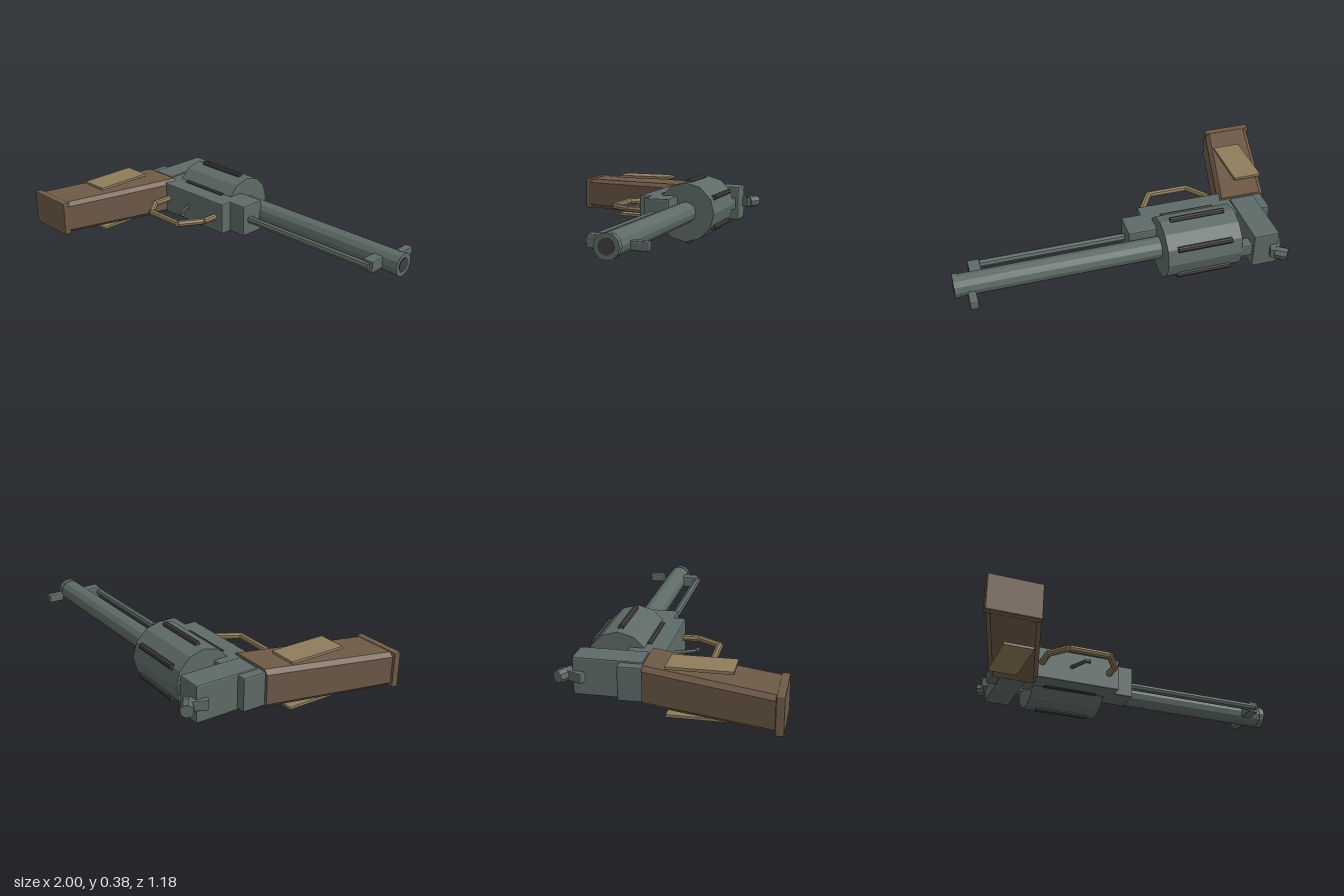
import * as THREE from 'three';
import { RoundedBoxGeometry } from 'three/addons/geometries/RoundedBoxGeometry.js';

const MID = 0.193;    // height of the symmetry plane
const AXIS = -0.314;  // z of the bore line

export function createModel() {
  const model = new THREE.Group();
  model.name = 'revolver';

  const paint = (name, color) => new THREE.MeshStandardMaterial({ name, color, flatShading: true });
  const steel = paint('steel', 0x5e6b67);
  const dark = paint('darkSteel', 0x403e3e);
  const wood = paint('wood', 0x6e5a47);
  const brass = paint('brass', 0x8e7c5c);

  const add = (name, geometry, material) => {
    const mesh = new THREE.Mesh(geometry, material);
    mesh.name = name;
    model.add(mesh);
    return mesh;
  };

  // Box given by its x and z ranges, centred on the symmetry plane
  const block = (name, x0, x1, z0, z1, height, material = steel, y = MID, bevel = 0.008) => {
    const g = new RoundedBoxGeometry(x1 - x0, height, z1 - z0, 1, bevel);
    g.translate((x0 + x1) / 2, y, (z0 + z1) / 2);
    return add(name, g, material);
  };

  // Cylinder between two points
  const rod = (name, a, b, radius, sides, material) => {
    const from = new THREE.Vector3(...a);
    const dir = new THREE.Vector3(...b).sub(from);
    const g = new THREE.CylinderGeometry(radius, radius, dir.length(), sides);
    const mesh = add(name, g, material);
    mesh.quaternion.setFromUnitVectors(new THREE.Vector3(0, 1, 0), dir.clone().normalize());
    mesh.position.copy(from).addScaledVector(dir, 0.5);
    return mesh;
  };

  // Frame
  block('lowerFrame', -0.79, -0.07, -0.255, -0.055, 0.185);
  block('frontFrame', -0.12, 0.04, -0.27, -0.12, 0.185);
  block('rearFrame', -0.74, -0.595, -0.497, -0.135, 0.203);
  block('topStrap', -0.61, -0.53, -0.48, -0.41, 0.07);

  // Drum with six raised ribs
  rod('drum', [-0.54, MID, AXIS], [-0.12, MID, AXIS], 0.17, 12, steel);
  for (let i = 0; i < 6; i++) {
    const t = i * Math.PI / 3;
    const y = MID + 0.173 * Math.cos(t), z = AXIS + 0.173 * Math.sin(t);
    rod('drumRib', [-0.48, y, z], [-0.175, y, z], 0.016, 8, dark);
  }

  // Barrel, muzzle and bore
  rod('barrel', [-0.12, MID, AXIS], [0.97, MID, AXIS], 0.062, 12, steel);
  rod('muzzle', [0.965, MID, AXIS], [0.997, MID, AXIS], 0.066, 12, steel);
  rod('bore', [0.99, MID, AXIS], [1.0, MID, AXIS], 0.041, 12, dark);
  block('frontSight', 0.89, 0.935, -0.492, -0.4, 0.048);

  // Ejector under the barrel
  rod('ejectorRod', [0.03, MID, -0.174], [0.885, MID, -0.174], 0.022, 8, steel);
  block('ejectorLug', 0.84, 0.905, -0.268, -0.17, 0.068);

  // Hammer
  const neck = add('hammerNeck', new RoundedBoxGeometry(0.055, 0.055, 0.12, 1, 0.005), steel);
  neck.position.set(-0.725, MID, -0.49);
  neck.rotation.y = -0.42;
  rod('hammerSpur', [-0.71, MID, -0.529], [-0.766, MID, -0.567], 0.035, 8, steel);

  // Grip: chamfered section, raked back and narrowing toward the butt
  const w = 0.138, h = 0.105, c = 0.024;
  const section = new THREE.Shape([
    [-w + c, -h], [w - c, -h], [w, -h + c], [w, h - c],
    [w - c, h], [-w + c, h], [-w, h - c], [-w, -h + c],
  ].map(([x, y]) => new THREE.Vector2(x, y)));
  const z0 = -0.125, z1 = 0.56;
  const grip = new THREE.ExtrudeGeometry(section, { depth: z1 - z0, bevelEnabled: false });
  const p = grip.attributes.position;
  for (let i = 0; i < p.count; i++) {
    const t = p.getZ(i) / (z1 - z0);
    p.setXYZ(i, p.getX(i) - 0.668 - 0.185 * t, MID + p.getY(i) * (1 - 0.1 * t), p.getZ(i) + z0);
  }
  grip.computeVertexNormals();
  add('grip', grip, wood);
  block('butt', -1.0, -0.715, 0.545, 0.588, 0.198, wood);
  for (const s of [-1, 1]) {
    block('gripPanel', -0.84, -0.68, 0, 0.333, 0.016, brass, MID + s * 0.126, 0.002);
  }

  // Trigger guard and trigger from straight rods
  const chain = (name, points, radius, material) => {
    for (let i = 0; i + 1 < points.length; i++) {
      const [a, b] = [points[i], points[i + 1]];
      rod(name, [a[0], MID, a[1]], [b[0], MID, b[1]], radius, 8, material);
    }
  };
  chain('triggerGuard', [
    [-0.527, -0.06], [-0.527, 0.06], [-0.443, 0.161], [-0.21, 0.161], [-0.132, 0.035], [-0.132, -0.06],
  ], 0.019, brass);
  chain('trigger', [[-0.36, -0.065], [-0.31, 0.047], [-0.282, 0.055]], 0.011, steel);

  return model;
}
